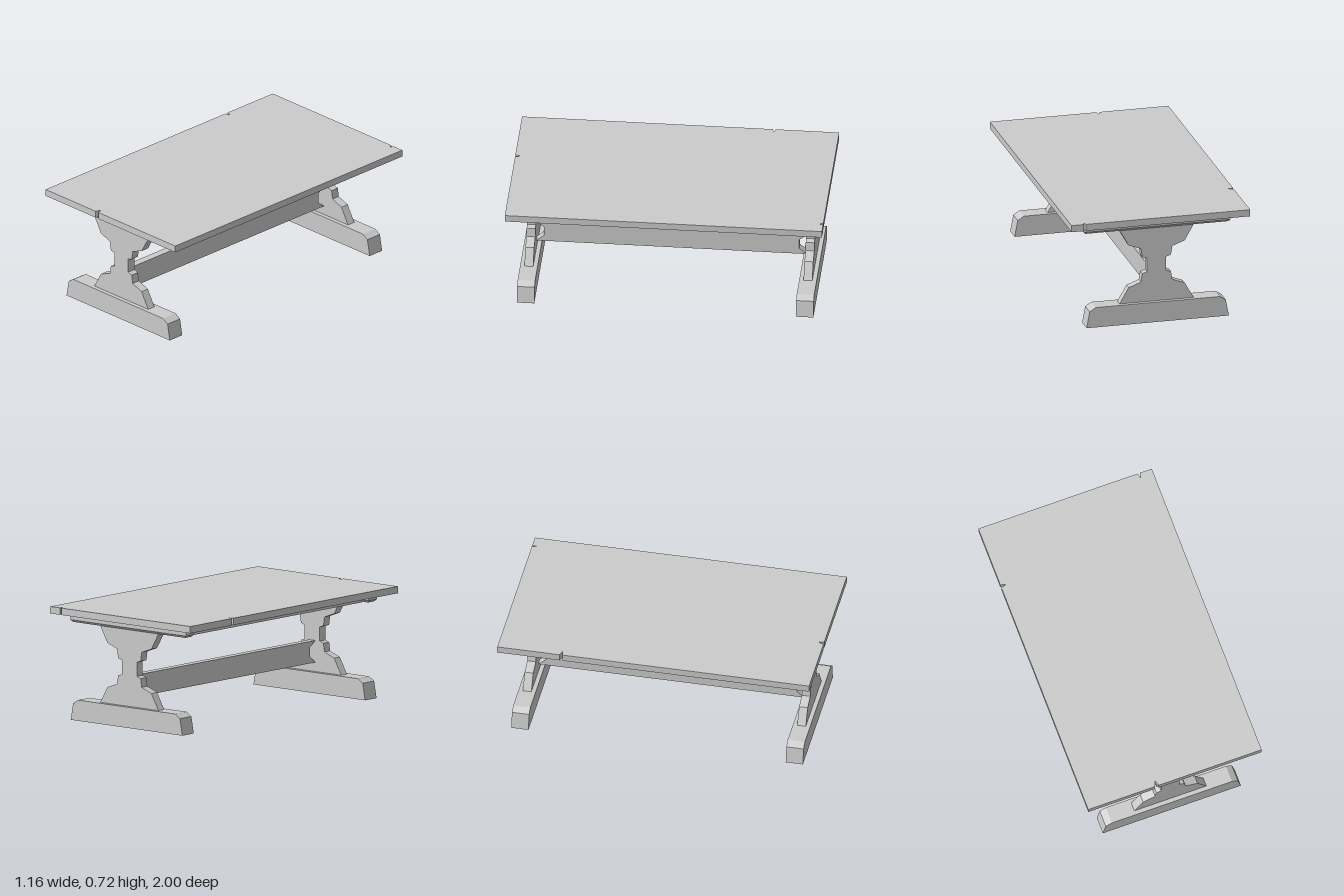
import * as THREE from 'three';

const material = new THREE.MeshStandardMaterial({ color: 0xcccccc, flatShading: true });

function add(parent, name, geometry) {
  const mesh = new THREE.Mesh(geometry, material);
  mesh.name = name;
  parent.add(mesh);
  return mesh;
}

// Extrude an outline by a depth, centred on its own plane
function slab(points, depth) {
  const shape = new THREE.Shape(points.map(([x, y]) => new THREE.Vector2(x, y)));
  return new THREE.ExtrudeGeometry(shape, { depth, bevelEnabled: false }).translate(0, 0, -depth / 2);
}

// Right half of an outline, completed by its mirror image
const mirrored = (half) => [...half, ...half.map(([x, y]) => [-x, y]).reverse()];

// Cross bar whose lower edges are chamfered all round
function cleatGeometry(width, depth, bottom, top, chamfer) {
  const g = new THREE.BoxGeometry(width, 2, depth, 1, 2, 1);
  const p = g.attributes.position;
  for (let i = 0; i < p.count; i++) {
    const level = p.getY(i);
    p.setY(i, level > 0.5 ? top : level < -0.5 ? bottom : bottom + chamfer);
    if (level < -0.5) {
      p.setX(i, p.getX(i) - Math.sign(p.getX(i)) * chamfer);
      p.setZ(i, p.getZ(i) - Math.sign(p.getZ(i)) * chamfer * 0.8);
    }
  }
  const flat = g.toNonIndexed();
  flat.computeVertexNormals();
  return flat;
}

export function createModel() {
  const table = new THREE.Group();
  table.name = 'trestleTable';

  // Top board with three small V-shaped nicks in its edges
  const board = slab([
    [-0.58, -1], [0.485, -1], [0.493, -0.97], [0.5, -1], [0.58, -1],
    [0.58, 1], [-0.109, 1], [-0.12, 0.965], [-0.134, 1], [-0.58, 1],
    [-0.58, -0.582], [-0.545, -0.59], [-0.58, -0.6],
  ], 0.044);
  add(table, 'tableTop', board.rotateX(Math.PI / 2).translate(0, 0.695, 0));

  // Trestles: foot, shaped panel and cleat at each end
  const foot = slab(mirrored([[0.462, 0], [0.442, 0.107], [0.402, 0.132]]), 0.11);
  const panel = slab(mirrored([
    [0.242, 0.13], [0.182, 0.235], [0.102, 0.265], [0.093, 0.32], [0.062, 0.33],
    [0.062, 0.42], [0.093, 0.43], [0.102, 0.488], [0.182, 0.517], [0.242, 0.622],
  ]), 0.055);
  const cleat = cleatGeometry(0.956, 0.08, 0.62, 0.674, 0.014);
  for (const side of [1, -1]) {
    const trestle = new THREE.Group();
    trestle.name = side > 0 ? 'frontTrestle' : 'backTrestle';
    trestle.position.set(0.003, 0, side * 0.88);
    add(trestle, 'foot', foot);
    add(trestle, 'panel', panel);
    add(trestle, 'cleat', cleat);
    table.add(trestle);
  }

  // Long rails under the top
  for (const side of [1, -1]) {
    const rail = add(table, side > 0 ? 'leftRail' : 'rightRail', new THREE.BoxGeometry(0.08, 0.057, 1.69));
    rail.position.set(0.003 + side * 0.38, 0.6455, 0);
  }

  // Stretcher flaring out where it meets the panels
  const stretcher = slab(mirrored([[0.855, 0.19], [0.805, 0.23], [0.805, 0.293], [0.855, 0.33]])
    , 0.05);
  add(table, 'stretcher', stretcher.rotateY(Math.PI / 2).translate(0.003, 0, 0));

  return table;
}
